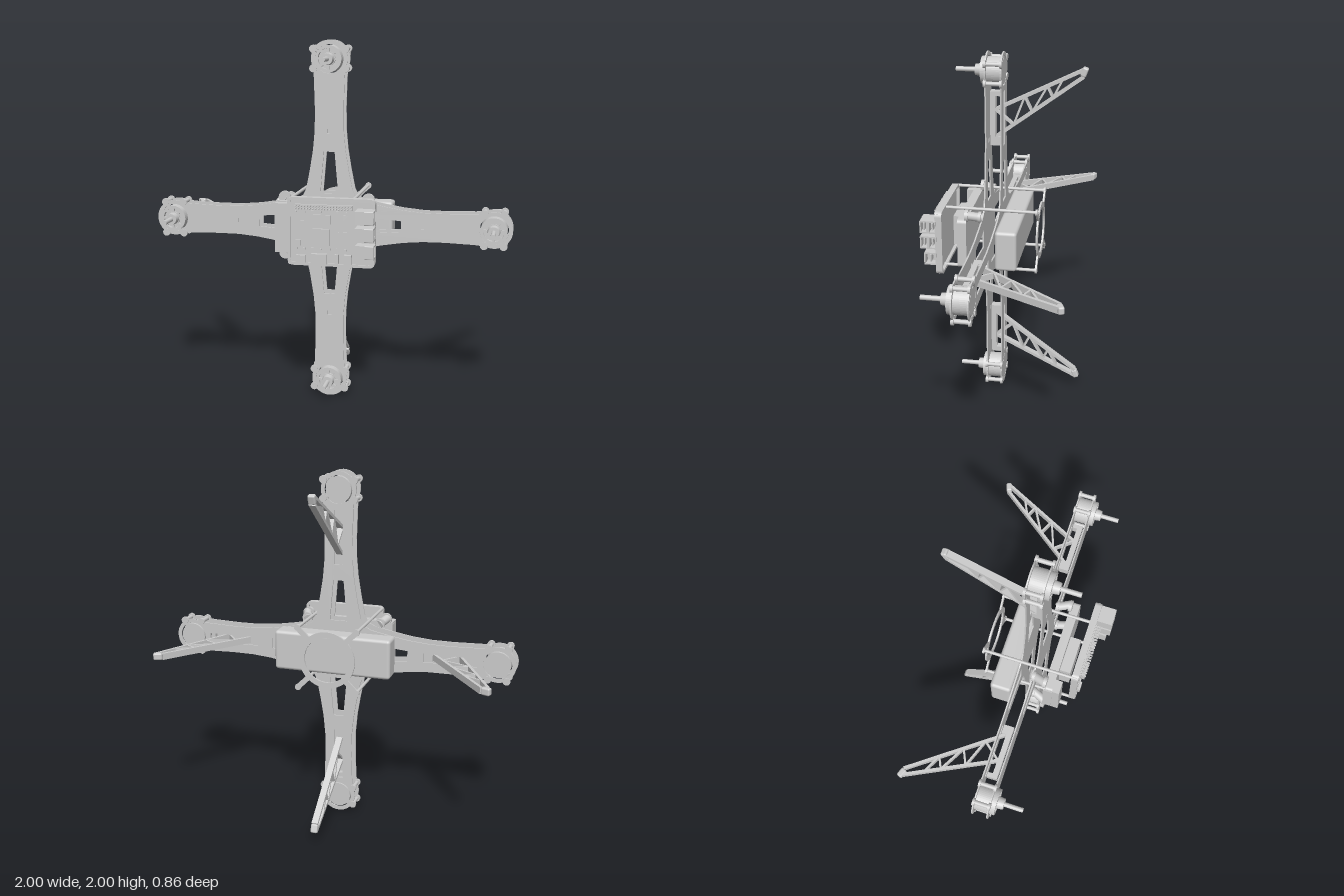
import * as THREE from 'three';
import { RoundedBoxGeometry } from 'three/addons/geometries/RoundedBoxGeometry.js';

const mat = new THREE.MeshStandardMaterial({ color: 0xcccccc });
const CY = 1; // height of the airframe centre
const corners = [[1, 1], [-1, 1], [-1, -1], [1, -1]];

function add(parent, name, geo, x = 0, y = 0, z = 0) {
  const m = new THREE.Mesh(geo, mat);
  m.name = name;
  m.position.set(x, y, z);
  parent.add(m);
  return m;
}
// box given by its limits
function box(parent, name, x0, x1, y0, y1, z0, z1) {
  return add(parent, name, new THREE.BoxGeometry(x1 - x0, y1 - y0, z1 - z0), (x0 + x1) / 2, (y0 + y1) / 2, (z0 + z1) / 2);
}
// cylinder along z
function disc(parent, name, r, z0, z1, x = 0, y = 0, seg = 32, r1 = r) {
  const g = new THREE.CylinderGeometry(r1, r, z1 - z0, seg).rotateX(Math.PI / 2);
  return add(parent, name, g, x, y, (z0 + z1) / 2);
}
function extrude(parent, name, shape, z0, z1) {
  const g = new THREE.ExtrudeGeometry(shape, { depth: z1 - z0, bevelEnabled: false, curveSegments: 24 });
  return add(parent, name, g, 0, 0, z0);
}
// flat bar between two points of the arm's y-z plane
function bar(parent, name, [y0, z0], [y1, z1], w, t) {
  const g = new THREE.BoxGeometry(w, Math.hypot(y1 - y0, z1 - z0), t);
  const m = add(parent, name, g, 0, (y0 + y1) / 2, (z0 + z1) / 2);
  m.rotation.x = Math.atan2(z1 - z0, y1 - y0);
}
const path = (pts) => new THREE.Path(pts.map(([x, y]) => new THREE.Vector2(x, y)));
const circle = (r, x = 0, y = 0) => new THREE.Path().absarc(x, y, r, 0, Math.PI * 2, true);
const turn = ([x, y], k) => [[x, y], [-y, x], [-x, -y], [y, -x]][k];

function roundedRect(x0, x1, y0, y1, r) {
  const s = new THREE.Shape();
  s.absarc(x1 - r, y1 - r, r, 0, Math.PI / 2);
  s.absarc(x0 + r, y1 - r, r, Math.PI / 2, Math.PI);
  s.absarc(x0 + r, y0 + r, r, Math.PI, Math.PI * 1.5);
  s.absarc(x1 - r, y0 + r, r, Math.PI * 1.5, Math.PI * 2);
  s.closePath();
  return s;
}

// cross-shaped plate; the rear one has slots for the legs
function framePlate(rear) {
  const side = [[0.15, 0.15], [0.13, 0.19], [0.108, 0.3], [0.09, 0.41], [0.08, 0.52], [0.079, 0.64], [0.084, 0.8], [0.09, 0.857]];
  const arm = [...side];
  for (let i = 1; i < 24; i++) {
    const a = -0.445 + (Math.PI + 0.89) * i / 24;
    arm.push([0.1 * Math.cos(a), 0.9 + 0.1 * Math.sin(a)]);
  }
  arm.push(...side.slice(1).reverse().map(([x, y]) => [-x, y]));
  const outline = [];
  const holes = [];
  for (let k = 0; k < 4; k++) {
    outline.push(...arm.map((p) => turn(p, k)));
    const cut = (pts) => holes.push(path(pts.map((p) => turn(p, k))));
    cut([[-0.05, 0.17], [-0.03, 0.4], [0.03, 0.4], [0.05, 0.17]]);
    if (rear) cut([[-0.025, 0.49], [-0.025, 0.79], [0.025, 0.79], [0.025, 0.49]]);
    else cut([[-0.012, 0.5], [-0.012, 0.524], [0.012, 0.524], [0.012, 0.5]]);
    holes.push(circle(0.078, ...turn([0, 0.9], k)));
  }
  const s = new THREE.Shape(outline.map(([x, y]) => new THREE.Vector2(x, y)));
  s.holes = holes;
  return s;
}

function motor() {
  const g = new THREE.Group();
  g.name = 'motor';
  disc(g, 'motorBase', 0.072, 0.012, 0.03);
  disc(g, 'motorStator', 0.056, 0.03, 0.108);
  const wall = new THREE.Shape().absarc(0, 0, 0.072, 0, Math.PI * 2);
  wall.holes = [circle(0.062)];
  extrude(g, 'motorBell', wall, 0.03, 0.13);
  // slotted bell cap
  const cap = new THREE.Shape().absarc(0, 0, 0.066, 0, Math.PI * 2);
  for (let i = 0; i < 8; i++) {
    const a = i * Math.PI / 4 + 0.1;
    const h = new THREE.Path();
    h.absarc(0, 0, 0.056, a, a + 0.55, false);
    h.absarc(0, 0, 0.038, a + 0.55, a, true);
    h.closePath();
    cap.holes.push(h);
  }
  extrude(g, 'bellCap', cap, 0.118, 0.13);
  disc(g, 'propHub', 0.034, 0.13, 0.165, 0, 0, 24, 0.03);
  disc(g, 'propShaft', 0.013, 0.165, 0.27, 0, 0, 16);
  // posts joining the two plates around the motor
  for (const [sx, sy] of corners) {
    const x = sx * 0.088, y = sy * 0.052;
    disc(g, 'motorPost', 0.012, 0.01, 0.108, x, y, 12);
    for (const z of [0.008, 0.094]) disc(g, 'postFlange', 0.021, z, z + 0.014, x, y, 16);
  }
  return g;
}

function landingLeg() {
  const g = new THREE.Group();
  g.name = 'landingLeg';
  box(g, 'legBase', -0.022, 0.022, 0.49, 0.79, 0.055, 0.085);
  box(g, 'legBaseInnerEnd', -0.022, 0.022, 0.49, 0.54, 0.028, 0.06);
  box(g, 'legBaseOuterEnd', -0.022, 0.022, 0.765, 0.79, 0.028, 0.06);
  const up = (z) => [0.688 + (0.058 - z) * 0.5, z];
  const low = (z) => [0.534 + (0.058 - z) * 0.75, z];
  bar(g, 'outerStrut', up(0.058), up(-0.41), 0.036, 0.016);
  bar(g, 'innerStrut', low(0.058), low(-0.41), 0.036, 0.016);
  const web = [up(0.058), low(-0.04), up(-0.1), low(-0.14), up(-0.22), low(-0.25), up(-0.3)];
  for (let i = 1; i < web.length; i++) bar(g, 'legBrace', web[i - 1], web[i], 0.032, 0.011);
  const foot = add(g, 'foot', new RoundedBoxGeometry(0.04, 0.05, 0.032, 2, 0.009), 0, 0.91, -0.412);
  foot.rotation.x = -0.35;
  return g;
}

function electronics(parent) {
  const g = new THREE.Group();
  g.name = 'electronics';
  parent.add(g);
  // damped lower board
  extrude(g, 'damperBoard', roundedRect(-0.27, 0.27, -0.14, 0.14, 0.02), 0.175, 0.225);
  box(g, 'sideModule', -0.268, -0.195, -0.135, 0.135, 0.18, 0.265);
  box(g, 'sensorModule', -0.12, 0.085, -0.085, 0.085, 0.225, 0.285);
  for (const [sx, sy] of corners) {
    const d = add(g, 'damper', new THREE.CylinderGeometry(0.024, 0.024, 0.085, 20).rotateX(Math.PI / 2), sx * 0.225, sy * 0.15, 0.14);
    d.rotation.y = sx * 0.35;
    d.rotation.x = sy * -0.25;
    disc(g, 'damperCap', 0.033, 0.168, 0.186, sx * 0.232, sy * 0.156, 24);
    disc(g, 'damperFoot', 0.03, 0.1, 0.116, sx * 0.215, sy * 0.145, 24);
  }
  // computer board in a shallow rim
  const rim = roundedRect(-0.178, 0.294, -0.182, 0.186, 0.028);
  rim.holes = [new THREE.Path(roundedRect(-0.163, 0.28, -0.167, 0.171, 0.018).getPoints(6).reverse())];
  extrude(g, 'boardRim', rim, 0.304, 0.342);
  box(g, 'computerBoard', -0.17, 0.288, -0.174, 0.178, 0.322, 0.334);
  box(g, 'pinHeaderBase', -0.135, 0.175, 0.122, 0.15, 0.334, 0.348);
  for (let i = 0; i < 20; i++) {
    for (const y of [0.129, 0.143]) box(g, 'headerPin', -0.13 + i * 0.0155, -0.125 + i * 0.0155, y - 0.0025, y + 0.0025, 0.348, 0.374);
  }
  const chips = [[0.005, -0.025, 0.09, 0.09, 0.014], [0.0, 0.07, 0.11, 0.05, 0.008], [-0.11, 0.03, 0.045, 0.06, 0.008],
    [0.12, -0.02, 0.05, 0.05, 0.008], [-0.12, -0.06, 0.03, 0.03, 0.008], [0.14, 0.08, 0.03, 0.03, 0.008],
    [-0.105, -0.145, 0.05, 0.04, 0.02], [-0.005, -0.142, 0.085, 0.055, 0.024], [0.09, -0.14, 0.02, 0.05, 0.016], [0.15, -0.14, 0.04, 0.05, 0.024]];
  for (const [x, y, w, h, d] of chips) box(g, 'chip', x - w / 2, x + w / 2, y - h / 2, y + h / 2, 0.334, 0.334 + d);
  for (let i = 0; i < 14; i++) {
    const x = -0.14 + (i % 7) * 0.045, y = i < 7 ? -0.095 : 0.105;
    box(g, 'smallPart', x, x + 0.014, y, y + 0.01, 0.334, 0.34);
  }
  // open sockets facing +x
  for (const [y, z1, rows] of [[0.1, 0.425, 2], [0.01, 0.425, 2], [-0.085, 0.405, 1]]) {
    const s = roundedRect(-(z1 - 0.334), 0, y - 0.036, y + 0.036, 0.004);
    const step = (z1 - 0.334) / rows;
    for (let i = 0; i < rows; i++) {
      const a = -step * (i + 1) + 0.008, b = -step * i - 0.008;
      s.holes.push(path([[a, y - 0.028], [a, y + 0.028], [b, y + 0.028], [b, y - 0.028]]));
    }
    const geo = new THREE.ExtrudeGeometry(s, { depth: 0.05, bevelEnabled: false }).rotateY(Math.PI / 2);
    add(g, 'socketShell', geo, 0.248, 0, 0.334);
    box(g, 'socketBody', 0.2, 0.25, y - 0.036, y + 0.036, 0.334, z1);
    for (let i = 0; i < rows; i++) {
      const z = 0.334 + step * (i + 0.5);
      box(g, 'socketTongue', 0.25, 0.29, y - 0.02, y + 0.02, z - 0.004, z + 0.004);
    }
  }
}

export function createModel() {
  const model = new THREE.Group();
  model.name = 'quadcopter';
  const body = new THREE.Group();
  body.name = 'airframe';
  body.position.y = CY;
  model.add(body);

  extrude(body, 'frontPlate', framePlate(false), 0.096, 0.104);
  extrude(body, 'rearPlate', framePlate(true), 0.012, 0.02);

  // four identical arms
  for (let k = 0; k < 4; k++) {
    const arm = new THREE.Group();
    arm.name = 'arm';
    arm.rotation.z = k * Math.PI / 2;
    const m = motor();
    m.position.y = 0.9;
    arm.add(m, landingLeg());
    body.add(arm);
  }

  add(body, 'battery', new RoundedBoxGeometry(0.67, 0.225, 0.118, 3, 0.018), 0.003, 0.002, -0.05);

  // long rods carrying the rear ring and the front board
  const ring = new THREE.Shape().absarc(0, 0, 0.16, 0, Math.PI * 2);
  ring.holes = [circle(0.128)];
  extrude(body, 'rearRing', ring, -0.198, -0.188);
  for (const [sx, sy] of corners) {
    disc(body, 'rod', 0.009, -0.196, 0.335, sx * 0.168, sy * 0.172, 12);
    const tab = box(body, 'ringTab', -0.046, 0.046, -0.015, 0.015, -0.198, -0.188);
    tab.position.x = sx * 0.139;
    tab.position.y = sy * 0.142;
    tab.rotation.z = sx * sy * Math.PI / 4;
    disc(body, 'tabEnd', 0.018, -0.199, -0.187, sx * 0.168, sy * 0.172, 16);
  }
  electronics(body);
  return model;
}
